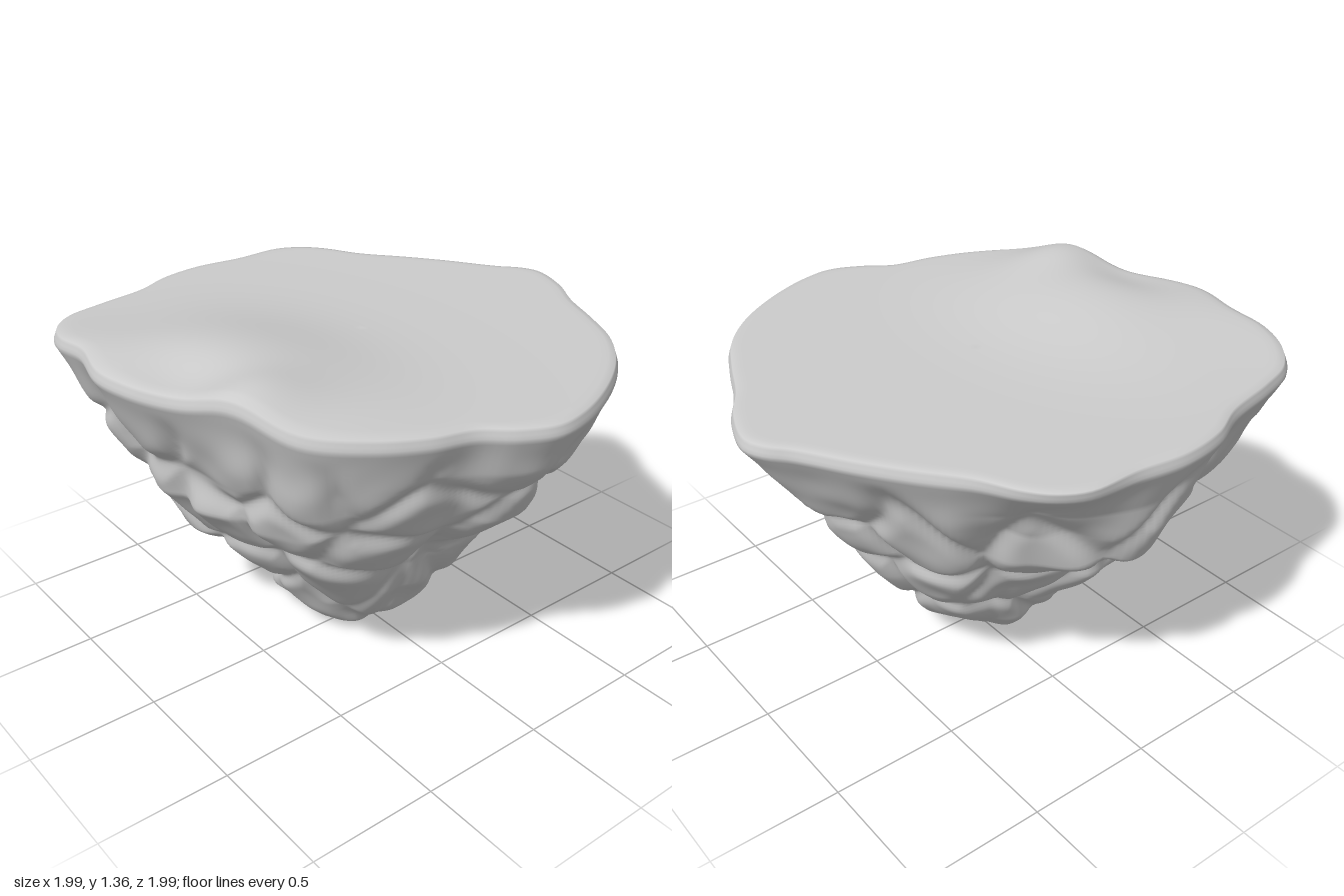
import * as THREE from 'three';

const COLS = 220, SIDE_ROWS = 110, CAP_ROWS = 36;

// Plan of the rim as x, z pairs, running from the back round by the left side
const PLAN = [
  -0.05, -1, 0.12, -0.95, 0.27, -0.86, 0.45, -0.78, 0.62, -0.69, 0.77, -0.55, 0.9, -0.35, 0.98, -0.15,
  0.995, -0.02, 0.94, 0.11, 0.86, 0.22, 0.82, 0.38, 0.74, 0.55, 0.6, 0.72, 0.4, 0.81, 0.15, 0.89,
  -0.05, 0.97, -0.2, 0.995, -0.4, 0.95, -0.57, 0.95, -0.7, 0.9, -0.8, 0.8, -0.85, 0.65, -0.9, 0.43,
  -0.97, 0.28, -1, 0.1, -0.98, -0.1, -0.98, -0.3, -0.93, -0.4, -0.85, -0.47, -0.7, -0.55, -0.55, -0.67,
  -0.4, -0.78, -0.2, -0.91, -0.13, -0.97,
];

// Share of the rim radius at each level, by direction in degrees from +x towards +z
const LEVELS = [0, 0.05, 0.15, 0.3, 0.45, 0.6, 0.75, 0.9, 1.05, 1.2, 1.24];
const PROFILES = [
  { deg: 0, share: [0, 0.13, 0.23, 0.35, 0.43, 0.56, 0.74, 0.83, 0.93, 1, 0.985] },
  { deg: 45, share: [0, 0.17, 0.28, 0.43, 0.56, 0.69, 0.79, 0.88, 0.94, 1, 0.985] },
  { deg: 90, share: [0, 0.18, 0.27, 0.41, 0.53, 0.65, 0.79, 0.82, 0.91, 1, 0.985] },
  { deg: 135, share: [0, 0.2, 0.32, 0.37, 0.63, 0.69, 0.77, 0.86, 0.93, 1, 0.985] },
  { deg: 160, share: [0, 0.21, 0.33, 0.38, 0.57, 0.63, 0.78, 0.87, 0.93, 1, 0.985] },
  { deg: 180, share: [0, 0.21, 0.31, 0.36, 0.48, 0.59, 0.85, 0.91, 0.94, 1, 0.985] },
  { deg: 203, share: [0, 0.15, 0.23, 0.33, 0.43, 0.55, 0.67, 0.72, 0.82, 0.98, 0.985] },
  { deg: 225, share: [0, 0.16, 0.27, 0.43, 0.57, 0.68, 0.76, 0.84, 0.92, 1, 0.985] },
  { deg: 270, share: [0, 0.16, 0.26, 0.37, 0.48, 0.57, 0.68, 0.78, 0.89, 1, 0.985] },
  { deg: 315, share: [0, 0.15, 0.29, 0.41, 0.5, 0.64, 0.73, 0.85, 0.93, 1, 0.985] },
  { deg: 360, share: [0, 0.13, 0.23, 0.35, 0.43, 0.56, 0.74, 0.83, 0.93, 1, 0.985] },
];

function seeded(seed) {
  return () => {
    seed = (seed * 16807) % 2147483647;
    return seed / 2147483647;
  };
}

const smooth = (a, b, x) => THREE.MathUtils.smoothstep(x, a, b);

function shareAt(share, y) {
  let i = 0;
  while (i < LEVELS.length - 2 && y > LEVELS[i + 1]) i++;
  let f = (y - LEVELS[i]) / (LEVELS[i + 1] - LEVELS[i]);
  f = i === 0 ? Math.sqrt(f) : f; // rounded tip
  return THREE.MathUtils.lerp(share[i], share[i + 1], f);
}

function radiusShare(angle, y) {
  const deg = (THREE.MathUtils.radToDeg(angle) + 360) % 360;
  const i = PROFILES.findIndex((p) => p.deg > deg);
  const a = PROFILES[i - 1], b = PROFILES[i];
  return THREE.MathUtils.lerp(shareAt(a.share, y), shareAt(b.share, y), smooth(a.deg, b.deg, deg));
}

// Gently swelling top, highest near the front
function topHeight(x, z) {
  const hump = (cx, cz, wx, wz, h) => h * Math.exp(-(((x - cx) / wx) ** 2) - ((z - cz) / wz) ** 2);
  return 1.235 + hump(0.05, 0.58, 0.55, 0.4, 0.1) + hump(0.36, 0.76, 0.16, 0.22, 0.055)
    + hump(-0.4, 0.95, 0.4, 0.25, 0.035) - hump(0.05, 0.82, 0.22, 0.14, 0.025);
}

// Scatters boulder centres over the flank
function boulderCentres(rim) {
  const rand = seeded(4217), centres = [];
  for (let tries = 0; tries < 1500; tries++) {
    const p = rim[Math.floor(rand() * COLS)], y = 1.1 * Math.sqrt(rand());
    const s = radiusShare(Math.atan2(p.z, p.x), y);
    const c = new THREE.Vector3(p.x * s, y, p.z * s);
    if (centres.every((o) => o.distanceTo(c) > 0.29)) centres.push(c);
  }
  return centres;
}

// Broad rounded boulders separated by shallow creases, with finer dents on top
function rockRelief(p, centres) {
  const q = new THREE.Vector3(
    p.x + 0.05 * Math.sin(7 * p.y + 4 * p.z),
    p.y + 0.05 * Math.sin(6 * p.x + 5 * p.z),
    p.z + 0.05 * Math.sin(7 * p.x - 6 * p.y));
  let near = 9, next = 9;
  for (const c of centres) {
    const d = q.distanceTo(c);
    if (d < near) { next = near; near = d; } else if (d < next) next = d;
  }
  const crease = (1 - smooth(0, 0.18, next - near)) ** 2;
  const dents = Math.sin(17 * q.x + 3) * Math.sin(15 * q.y) * Math.sin(16 * q.z + 1);
  return 0.012 - 0.025 * crease - 0.25 * near * near + 0.01 * dents;
}

function buildRock() {
  const pts = [];
  for (let i = 0; i < PLAN.length; i += 2) pts.push(new THREE.Vector3(PLAN[i], 0, PLAN[i + 1]));
  const rim = new THREE.CatmullRomCurve3(pts, true).getSpacedPoints(COLS).slice(0, COLS);
  const centres = boulderCentres(rim);
  const positions = [], index = [];

  // Flank, from the tip up to the rim
  for (let r = 0; r <= SIDE_ROWS; r++) {
    const t = r / SIDE_ROWS;
    const y = 1.24 * (t < 0.1 ? t * t * 5 + t * 0.5 : t);
    for (const e of rim) {
      const s = radiusShare(Math.atan2(e.z, e.x), y);
      const tip = 1 - smooth(0, 0.3, y);
      const p = new THREE.Vector3(e.x * s + 0.02 * tip, y, e.z * s + 0.03 * tip);
      const fade = smooth(0, 0.12, y) * (1 - smooth(0.98, 1.17, y));
      const push = rockRelief(p, centres) * fade;
      const len = Math.hypot(e.x, e.z);
      const lift = (topHeight(e.x, e.z) - 1.24) * smooth(0.8, 1.24, y);
      positions.push(p.x + (e.x / len) * push * 0.9, y + lift - push * 0.5, p.z + (e.z / len) * push * 0.9);
    }
  }
  // Top surface, from the rim in to the middle
  for (let r = 1; r <= CAP_ROWS; r++) {
    const s = 0.985 * (1 - r / CAP_ROWS);
    for (const e of rim) {
      const x = e.x * s, z = e.z * s;
      positions.push(x, topHeight(x, z) + 0.004, z);
    }
  }
  for (let r = 0; r < SIDE_ROWS + CAP_ROWS; r++) {
    for (let c = 0; c < COLS; c++) {
      const a = r * COLS + c, b = r * COLS + ((c + 1) % COLS);
      if (r < SIDE_ROWS + CAP_ROWS - 1) index.push(a + COLS, b + COLS, b);
      if (r > 0) index.push(a, a + COLS, b);
    }
  }
  const geometry = new THREE.BufferGeometry();
  geometry.setAttribute('position', new THREE.Float32BufferAttribute(positions, 3));
  geometry.setIndex(index);
  geometry.computeVertexNormals();
  // Shared normals at the tip and at the middle of the top
  const normal = geometry.attributes.normal;
  for (let c = 0; c < COLS; c++) {
    normal.setXYZ((SIDE_ROWS + CAP_ROWS) * COLS + c, 0, 1, 0);
    normal.setXYZ(c, 0, -1, 0);
  }
  return geometry;
}

export function createModel() {
  const group = new THREE.Group();
  group.name = 'floatingIsland';
  const rock = new THREE.Mesh(buildRock(), new THREE.MeshStandardMaterial({ color: 0xcccccc }));
  rock.name = 'islandRock';
  group.add(rock);
  return group;
}
